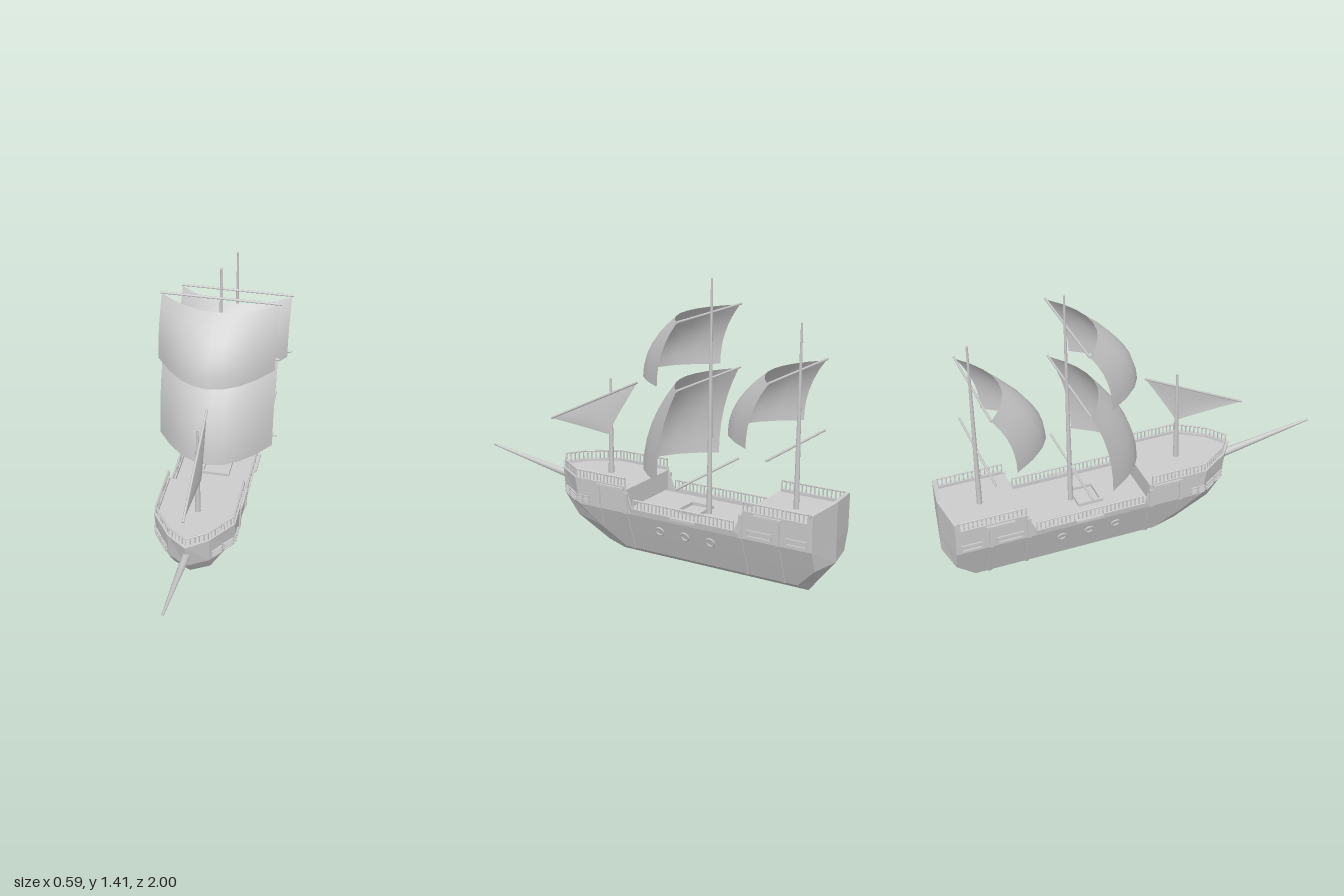
import * as THREE from 'three';
import { mergeGeometries } from 'three/addons/utils/BufferGeometryUtils.js';

const flat = new THREE.MeshStandardMaterial({ color: 0xcccccc, flatShading: true });
const smooth = new THREE.MeshStandardMaterial({ color: 0xcccccc });
const cloth = new THREE.MeshStandardMaterial({ color: 0xcccccc, side: THREE.DoubleSide });
const V = (x, y, z) => new THREE.Vector3(x, y, z);

export function createModel() {
  const ship = new THREE.Group();
  const add = (name, geo, mat = flat) => {
    const m = new THREE.Mesh(geo, mat);
    m.name = name;
    ship.add(m);
    return m;
  };

  // Surface through rows of points
  const loft = (rows) => {
    const n = rows[0].length, index = [];
    for (let i = 0; i < rows.length - 1; i++) {
      for (let j = 0; j < n - 1; j++) {
        const a = i * n + j, b = a + 1, d = a + n, c = d + 1;
        index.push(a, d, c, a, c, b);
      }
    }
    const g = new THREE.BufferGeometry().setFromPoints(rows.flat());
    g.setIndex(index);
    g.computeVertexNormals();
    return g;
  };

  // Tapered round spar between two points
  const sparGeo = (a, b, r0, r1 = r0, sides = 8) => {
    const g = new THREE.CylinderGeometry(r1, r0, a.distanceTo(b), sides);
    const dir = b.clone().sub(a).normalize();
    g.applyQuaternion(new THREE.Quaternion().setFromUnitVectors(V(0, 1, 0), dir));
    const mid = a.clone().lerp(b, 0.5);
    return g.translate(mid.x, mid.y, mid.z);
  };
  const spar = (name, ...args) => add(name, sparGeo(...args), smooth);

  // Hull levels: height, half width, stern corner z, stern centre z, then bow points
  const levels = [
    { y: 0, w: 0, corner: -0.87, stern: -0.87, bow: [[0, 0.07], [0, 0.16], [0, 0.16]] },
    { y: 0.065, w: 0.12, corner: -0.87, stern: -0.92, bow: [[0.12, 0.07], [0.08, 0.2], [0, 0.265]] },
    { y: 0.165, w: 0.158, corner: -0.97, stern: -1, bow: [[0.158, 0.2], [0.09, 0.38], [0, 0.43]] },
    { y: 0.265, w: 0.195, corner: -0.97, stern: -1, bow: [[0.195, 0.3], [0.1, 0.45], [0, 0.51]] },
    { w: 0.2, corner: -0.97, stern: -1, bow: [[0.2, 0.32], [0.1, 0.465], [0, 0.54]] },
    // Inside of the bulwark
    { w: 0.186, corner: -0.95, stern: -0.98, bow: [[0.186, 0.31], [0.092, 0.45], [0, 0.52]] },
    { y: 0.265, w: 0.186, corner: -0.95, stern: -0.98, bow: [[0.186, 0.3], [0.09, 0.44], [0, 0.5]] },
  ];
  const stations = [-0.945, -0.62, -0.575, -0.01, 0.03];
  const topY = [0.455, 0.44, 0.4, 0.4, 0.295, 0.295, 0.4, 0.4, 0.4, 0.4];
  const hullRows = levels.map(({ y, w, corner, stern, bow }) => {
    const half = [[0, stern], [w, corner], ...stations.map((z) => [w, Math.max(z, corner)]), ...bow];
    const pts = half.map(([x, z], i) => V(x, y ?? topY[i], z));
    const mirror = pts.slice(0, -1).reverse().map((p) => V(-p.x, p.y, p.z));
    return [...pts, ...mirror];
  });
  add('hull', loft(hullRows));

  // Decks
  const deck = (name, half, top, depth) => {
    const pts = [...half, ...half.slice().reverse().map(([x, z]) => [-x, z])];
    const shape = new THREE.Shape(pts.map(([x, z]) => new THREE.Vector2(x, z)));
    const g = new THREE.ExtrudeGeometry(shape, { depth, bevelEnabled: false });
    add(name, g.rotateX(Math.PI / 2)).position.y = top;
  };
  deck('foreDeck', [[0.19, 0.02], [0.19, 0.305], [0.093, 0.45], [0.005, 0.51]], 0.385, 0.1);
  deck('waistDeck', [[0.19, -0.63], [0.19, 0.04]], 0.275, 0.02);
  deck('aftDeck', [[0.005, -0.985], [0.188, -0.955], [0.188, -0.61]], 0.385, 0.12);

  // Flat frame with an opening, facing +z
  const frameGeo = (w, h, t, depth) => {
    const rect = (C, a, b) => new C([[-a, -b], [a, -b], [a, b], [-a, b]].map((p) => new THREE.Vector2(...p)));
    const s = rect(THREE.Shape, w / 2, h / 2);
    s.holes.push(rect(THREE.Path, w / 2 - t, h / 2 - t));
    return new THREE.ExtrudeGeometry(s, { depth, bevelEnabled: false });
  };
  const hatch = add('hatchFrame', frameGeo(0.15, 0.13, 0.014, 0.016));
  hatch.rotation.x = -Math.PI / 2;
  hatch.position.set(0, 0.275, -0.25);

  for (const s of [1, -1]) {
    // Side windows: two at the stern, small panes forward and on the bow face
    const pane = (x, y, z, angle, w, h, t) => {
      const m = add('windowFrame', frameGeo(w, h, t, 0.01));
      m.position.set(s * x, y, z);
      m.rotation.y = s * angle;
    };
    pane(0.194, 0.297, -0.705, Math.PI / 2, 0.13, 0.034, 0.006);
    pane(0.194, 0.297, -0.895, Math.PI / 2, 0.105, 0.034, 0.006);
    for (const y of [0.285, 0.307]) {
      for (const k of [-1, 1]) {
        pane(0.193, y, 0.275 + k * 0.02, Math.PI / 2, 0.034, 0.016, 0.004);
        pane(0.147 - k * 0.022, y, 0.382 + k * 0.032, 0.96, 0.066, 0.016, 0.004);
      }
    }

    // Portholes
    for (const z of [-0.16, -0.3, -0.44]) {
      const ring = add('porthole', new THREE.TorusGeometry(0.021, 0.005, 6, 16), smooth);
      ring.position.set(s * 0.175, 0.202, z);
      ring.rotation.set(0, s * Math.PI / 2, 0);
      ring.rotateX(0.35);
    }

    // Ribs following the hull section
    for (const [z, top] of [[0.18, 0.39], [0.02, 0.37], [-0.61, 0.38], [-0.8, 0.39]]) {
      const side = [[0.12, 0.065], [0.158, 0.165], [0.195, 0.265], [0.2, top]].slice(z > 0.1 ? 1 : 0);
      const outer = side.map(([x, y]) => [x + 0.007, y]);
      const inner = side.slice().reverse().map(([x, y]) => [x - 0.005, y]);
      const shape = new THREE.Shape([...outer, ...inner].map(([x, y]) => new THREE.Vector2(s * x, y)));
      const rib = new THREE.ExtrudeGeometry(shape, { depth: 0.018, bevelEnabled: false });
      add('hullRib', rib).position.z = z - 0.009;
    }

    // Ledges beside each mast
    for (const [z, y, len] of [[0.1, 0.387, 0.14], [-0.305, 0.29, 0.14], [-0.75, 0.387, 0.14]]) {
      add('mastLedge', new THREE.BoxGeometry(0.018, 0.012, len)).position.set(s * 0.202, y, z);
    }
  }

  // Railings: posts along a path with a top rail
  const railing = (name, path) => {
    const parts = [];
    for (let i = 0; i < path.length - 1; i++) {
      const [a, b] = [path[i], path[i + 1]];
      const up = V(0, 0.04, 0);
      const n = Math.max(1, Math.round(a.distanceTo(b) / 0.021));
      for (let k = 0; k <= n; k++) {
        const p = a.clone().lerp(b, k / n);
        parts.push(new THREE.BoxGeometry(0.005, 0.045, 0.005).translate(p.x, p.y + 0.02, p.z));
      }
      parts.push(sparGeo(a.clone().add(up), b.clone().add(up), 0.005, 0.005, 6));
    }
    add(name, mergeGeometries(parts));
  };
  const bowRail = [[0.192, 0.03], [0.192, 0.315], [0.095, 0.455], [0, 0.52]];
  railing('foreRailing', [...bowRail, ...bowRail.slice(0, 3).reverse().map(([x, z]) => [-x, z])]
    .map(([x, z]) => V(x, 0.4, z)));
  for (const x of [0.192, -0.192]) {
    railing('waistRailing', [V(x, 0.297, -0.02), V(x, 0.297, -0.57)]);
    railing('aftRailing', [V(x, 0.4, -0.62), V(x, 0.4, -0.945)]);
  }

  // Masts and bowsprit
  spar('foreMast', V(0, 0.37, 0.24), V(0, 0.87, 0.24), 0.015, 0.006);
  spar('mainMast', V(0, 0.26, -0.33), V(0, 1.415, -0.33), 0.014, 0.005);
  spar('aftMast', V(0, 0.37, -0.793), V(0, 1.255, -0.793), 0.014, 0.005);
  spar('bowsprit', V(0, 0.325, 0.47), V(0, 0.414, 1), 0.022, 0.006);

  // Yards
  for (const [y, z] of [[1.253, -0.322], [0.94, -0.322], [0.475, -0.322], [1.035, -0.785], [0.69, -0.785]]) {
    spar('yard', V(-0.297, y, z), V(0.297, y, z), 0.006);
  }

  // Square sails, billowing forward towards the foot
  const squareSail = (name, top, bottom, z) => {
    const rows = [];
    for (let i = 0; i <= 6; i++) {
      const v = i / 6, row = [];
      const edge = 0.105 * (1 - (1 - v) ** 2.2);
      const mid = 0.125 + 0.205 * (1 - (1 - v) ** 2);
      for (let j = 0; j <= 8; j++) {
        const t = j / 4 - 1;
        row.push(V(-t * 0.29, top + (bottom - top) * v, z + edge + (mid - edge) * (1 - t * t)));
      }
      rows.push(row);
    }
    add(name, loft(rows), cloth);
  };
  squareSail('mainTopSail', 1.25, 0.945, -0.32);
  squareSail('mainSail', 0.937, 0.49, -0.32);
  squareSail('aftSail', 1.03, 0.725, -0.783);

  // Slanted triangular sail with its spar
  const low = V(0.008, 0.617, 0.605), high = V(0.012, 0.873, 0.075);
  spar('foreSailSpar', low, high, 0.006);
  const foot = new THREE.QuadraticBezierCurve3(low, V(0.015, 0.605, 0.42), V(0.02, 0.588, 0.245));
  const leech = new THREE.QuadraticBezierCurve3(V(0.02, 0.588, 0.245), V(0.02, 0.66, 0.21), high);
  const headRow = [], footRow = [];
  for (let i = 0; i <= 12; i++) {
    const t = i / 12;
    headRow.push(low.clone().lerp(high, t));
    footRow.push(t < 0.5 ? foot.getPoint(t * 2) : leech.getPoint(t * 2 - 1));
  }
  const middleRow = headRow.map((p, i) => p.clone().lerp(footRow[i], 0.5).add(V(0.008 * Math.sin(Math.PI * i / 12), 0, 0)));
  add('foreSail', loft([headRow, middleRow, footRow]), cloth);

  return ship;
}
